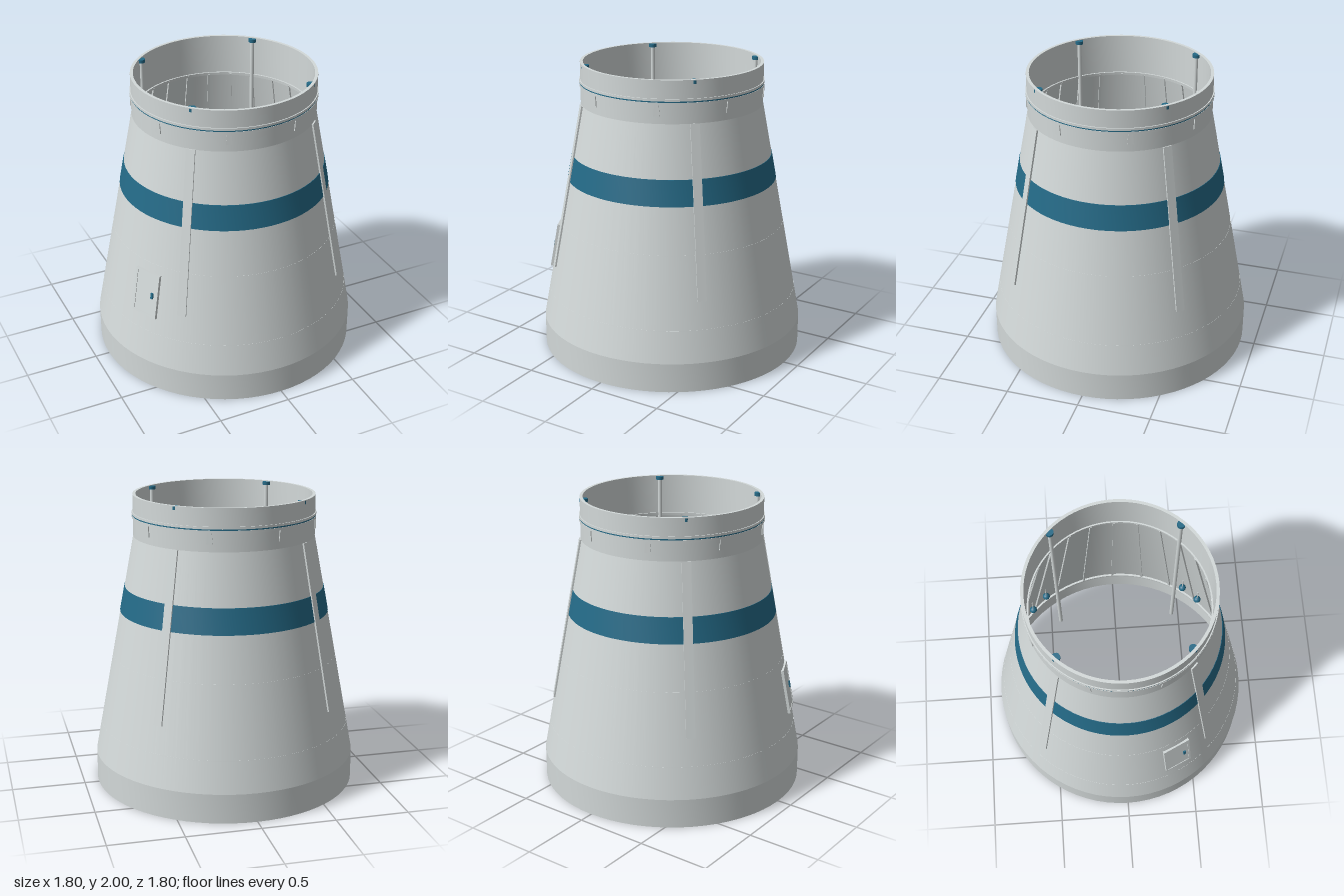
import * as THREE from 'three';
import { toCreasedNormals } from 'three/addons/utils/BufferGeometryUtils.js';

const Y0 = 0.2, Y1 = 1.72, R0 = 0.9, R1 = 0.613;
const WALL = 0.02;
const TILT = Math.atan((R0 - R1) / (Y1 - Y0));

// Outer radius of the shell at height y
function radiusAt(y) {
  const t = Math.min(1, Math.max(0, (y - Y0) / (Y1 - Y0)));
  return R0 + (R1 - R0) * t;
}

export function createModel() {
  const model = new THREE.Group();
  model.name = 'conicalAdapter';

  const grey = new THREE.MeshStandardMaterial({ color: 0xd3d9d9 });
  grey.name = 'light grey';
  const teal = new THREE.MeshStandardMaterial({ color: 0x246a87 });
  teal.name = 'teal';

  function add(parent, name, geometry, material, x = 0, y = 0, z = 0) {
    const mesh = new THREE.Mesh(geometry, material);
    mesh.name = name;
    mesh.position.set(x, y, z);
    parent.add(mesh);
    return mesh;
  }

  // Closed profile turned about the y axis
  function turned(name, profile, material) {
    const points = [...profile, profile[0]].map(([r, y]) => new THREE.Vector2(r, y));
    return add(model, name, toCreasedNormals(new THREE.LatheGeometry(points, 72), 0.14), material);
  }

  // Ring following the shell, between two offsets from its outer surface
  function ring(name, y0, y1, inner, outer, material) {
    const a = radiusAt(y0), b = radiusAt(y1);
    turned(name, [[a + outer, y0], [b + outer, y1], [b + inner, y1], [a + inner, y0]], material);
  }

  // Group turned to an angle about y (0 faces the front)
  function spoke(name, angle) {
    const group = new THREE.Group();
    group.name = name;
    group.rotation.y = angle;
    model.add(group);
    return group;
  }

  // Group lying on the sloping wall, its z axis pointing out
  function onSlope(name, angle, y, offset = 0) {
    const seat = new THREE.Group();
    seat.position.set(0, y, radiusAt(y) + offset);
    seat.rotation.x = -TILT;
    spoke(name, angle).add(seat);
    return seat;
  }

  // Hollow shell
  turned('shell', [
    [R0, 0], [R0, Y0], [R1, Y1], [R1, 2],
    [R1 - WALL, 2], [R1 - WALL, Y1], [R0 - WALL, Y0], [R0 - WALL, 0],
  ], grey);

  // Painted band, panel seams and inner frames
  ring('paintedBand', 1.205, 1.375, -0.005, 0.003, teal);
  ring('lowerSeam', 0.41, 0.416, -0.005, 0.001, grey);
  ring('upperSeam', 0.892, 0.898, -0.005, 0.001, grey);
  ring('lowerInnerFrame', 0.19, 0.21, -0.035, -0.01, grey);
  ring('upperInnerFrame', 1.71, 1.73, -0.03, -0.01, grey);

  // Separation joint: two flanges with a coloured strip between
  ring('lowerFlange', 1.842, 1.858, -0.005, 0.007, grey);
  ring('jointStrip', 1.858, 1.866, -0.005, 0.005, teal);
  ring('upperFlange', 1.866, 1.882, -0.005, 0.007, grey);

  // Stringers inside the cone
  const slopeLength = (Y1 - Y0) / Math.cos(TILT);
  const stringer = new THREE.BoxGeometry(0.014, slopeLength, 0.016);
  for (let i = 0; i < 24; i++) {
    const seat = onSlope('stringer', (i / 24) * Math.PI * 2, (Y0 + Y1) / 2, -WALL - 0.004);
    add(seat, 'stringerBar', stringer, grey);
  }

  // Tapered brackets under the joint
  const tab = new THREE.Shape();
  tab.moveTo(-0.021, 1.77);
  tab.lineTo(0.021, 1.77);
  tab.lineTo(0.014, 1.842);
  tab.lineTo(-0.014, 1.842);
  tab.closePath();
  const tabGeometry = new THREE.ExtrudeGeometry(tab, { depth: 0.016, bevelEnabled: false });
  for (let i = 0; i < 8; i++) {
    const group = spoke('bracket', ((i + 0.5) / 8) * Math.PI * 2);
    add(group, 'bracketTab', tabGeometry, grey, 0, 0, R1 - 0.01);
  }

  // Outer rails, inner push rods and hanging plugs on the four diagonals
  const rail = new THREE.BoxGeometry(0.06, 1.12 / Math.cos(TILT), 0.02);
  const rod = new THREE.CylinderGeometry(0.014, 0.014, 1.5, 16);
  const cap = new THREE.CylinderGeometry(0.027, 0.027, 0.022, 20);
  const wire = new THREE.CylinderGeometry(0.004, 0.004, 0.13, 8);
  const ball = new THREE.SphereGeometry(0.027, 20, 14);
  for (let i = 0; i < 4; i++) {
    const angle = ((i + 0.5) / 4) * Math.PI * 2;
    add(onSlope('outerRail', angle, 1.16), 'railBar', rail, grey);
    const group = spoke('pushRod', angle);
    add(group, 'rod', rod, grey, 0, 1.225, 0.585);
    add(group, 'rodCap', cap, teal, 0, 1.984, 0.587);
    for (const side of [-1, 1]) {
      add(group, 'plugWire', wire, grey, side * 0.072, 0.535, 0.8);
      add(group, 'plugBall', ball, teal, side * 0.072, 0.469, 0.8);
    }
  }

  // Access door: raised frame, panel and handle
  const door = onSlope('accessDoor', -1.125, 0.68);
  const outline = new THREE.Shape();
  const w = 0.1, h = 0.157, b = 0.014;
  outline.moveTo(-w, -h);
  outline.lineTo(w, -h);
  outline.lineTo(w, h);
  outline.lineTo(-w, h);
  outline.closePath();
  const opening = new THREE.Path();
  opening.moveTo(-w + b, -h + b);
  opening.lineTo(-w + b, h - b);
  opening.lineTo(w - b, h - b);
  opening.lineTo(w - b, -h + b);
  opening.closePath();
  outline.holes.push(opening);
  add(door, 'doorFrame', new THREE.ExtrudeGeometry(outline, { depth: 0.022, bevelEnabled: false }), grey, 0, 0, -0.01);
  add(door, 'doorPanel', new THREE.BoxGeometry(2 * w - b, 2 * h - b, 0.016), grey);
  add(door, 'doorHandle', new THREE.BoxGeometry(0.018, 0.04, 0.014), teal, 0.055, 0, 0.011);

  return model;
}
